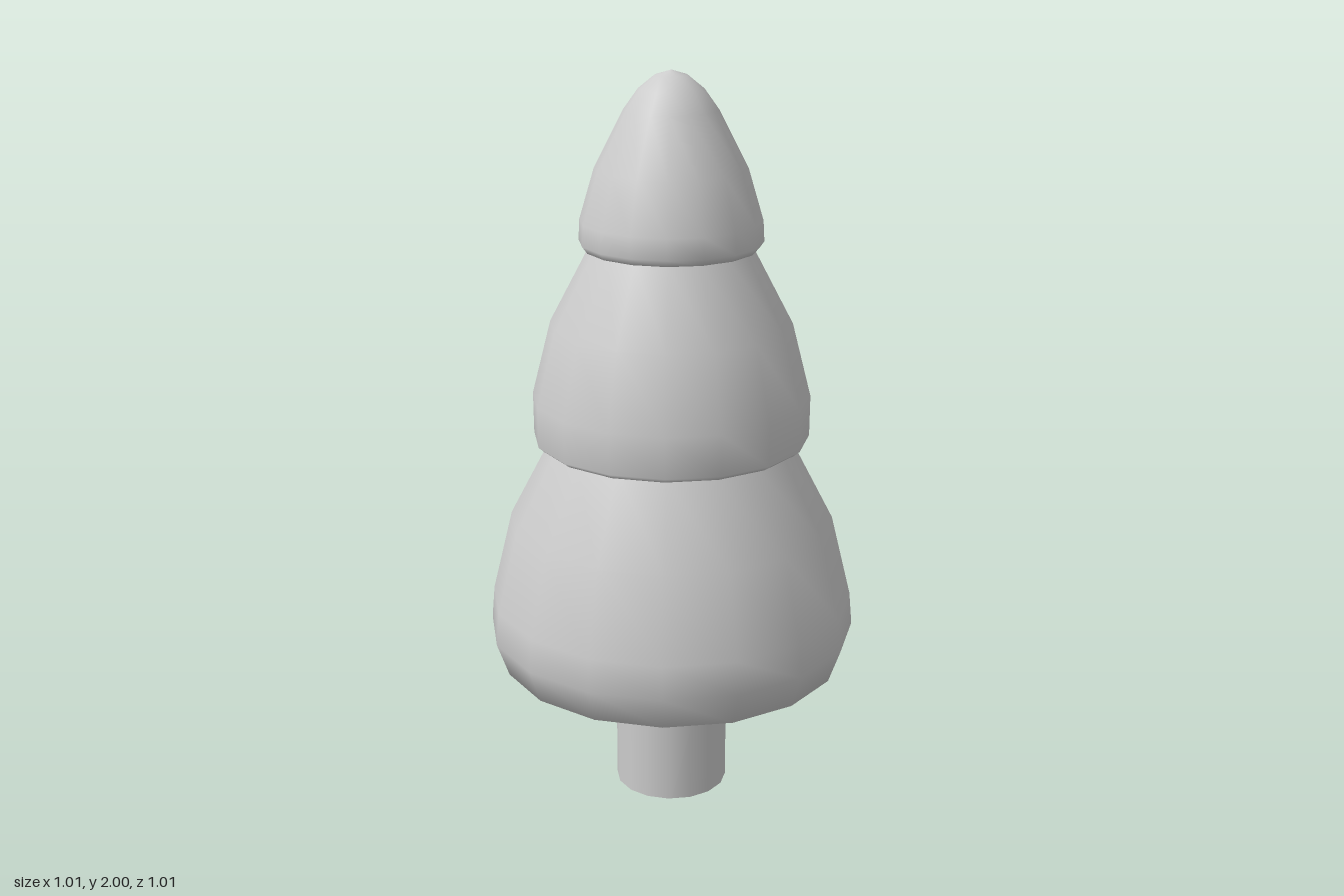
import * as THREE from 'three';

const SIDES = 16;

// Profiles as [radius, height], from the underside up
const TIERS = {
  lowerFoliage: [
    [0.1, 0.35], [0.375, 0.35], [0.47, 0.387], [0.503, 0.48],
    [0.495, 0.57], [0.44, 0.795], [0.325, 1.015],
  ],
  middleFoliage: [
    [0.3, 1.015], [0.355, 1.016], [0.372, 1.03], [0.373, 1.14],
    [0.322, 1.34], [0.217, 1.54],
  ],
  topFoliage: [
    [0.19, 1.54], [0.23, 1.542], [0.243, 1.56], [0.24, 1.615], [0.2, 1.75],
    [0.123, 1.9], [0.085, 1.953], [0.043, 1.987], [0, 2],
  ],
};

export function createModel() {
  const tree = new THREE.Group();
  tree.name = 'tree';
  const material = new THREE.MeshStandardMaterial({ color: 0xcccccc, side: THREE.DoubleSide });

  const add = (name, geometry) => {
    const mesh = new THREE.Mesh(geometry, material);
    mesh.name = name;
    tree.add(mesh);
    return mesh;
  };

  // Three rounded tiers of foliage, stacked
  for (const [name, profile] of Object.entries(TIERS)) {
    const points = profile.map(([r, y]) => new THREE.Vector2(r, y));
    add(name, new THREE.LatheGeometry(points, SIDES));
  }

  // Trunk: a hollow tube, open at the bottom
  const trunk = add('trunk', new THREE.CylinderGeometry(0.155, 0.155, 0.35, SIDES, 1, true));
  trunk.position.y = 0.175;

  return tree;
}
